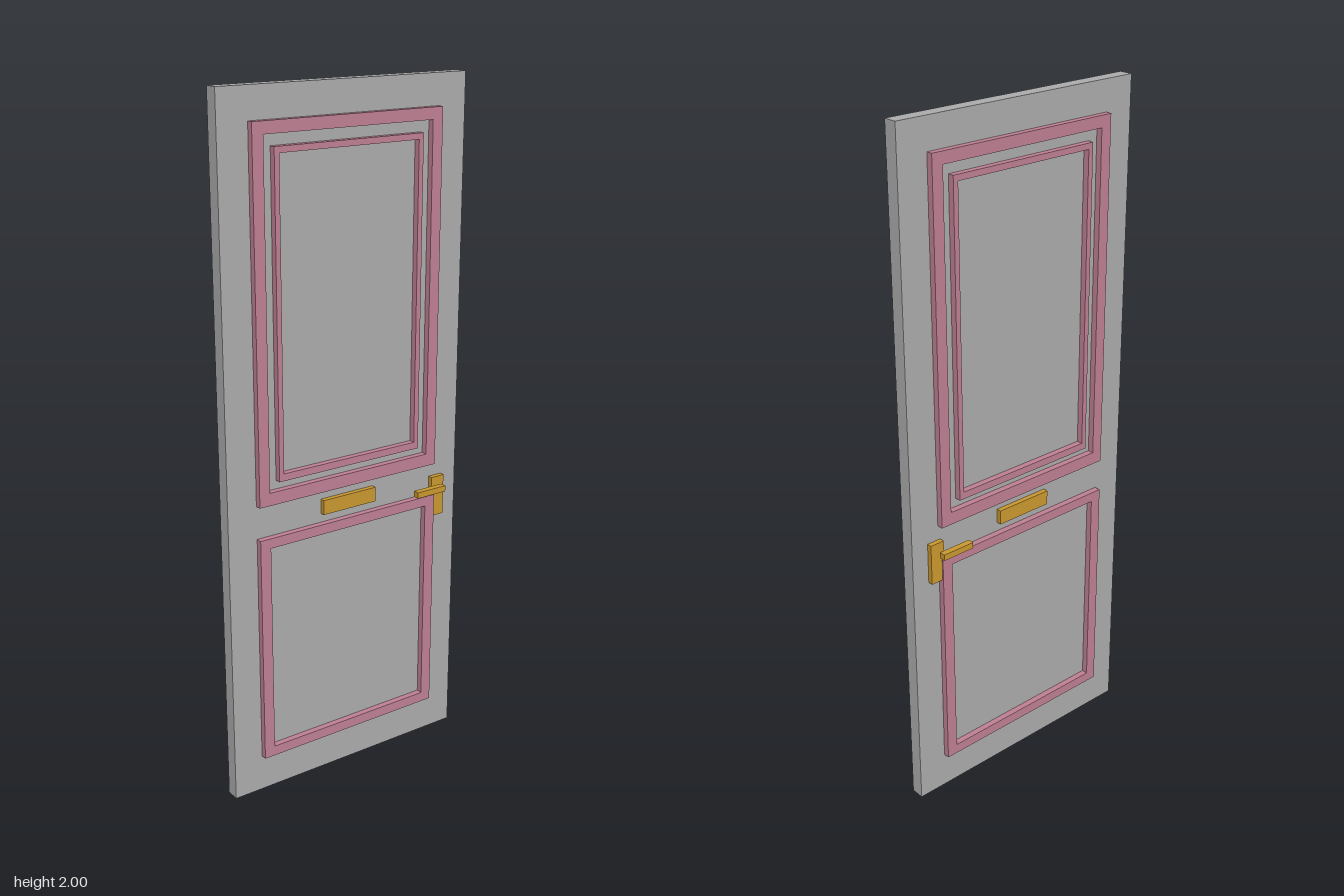
import * as THREE from 'three';

const doorGrey = new THREE.MeshStandardMaterial({ color: 0xaaaaaa });
doorGrey.name = 'door grey';
const trimPink = new THREE.MeshStandardMaterial({ color: 0xbd7f92 });
trimPink.name = 'trim pink';
const brass = new THREE.MeshStandardMaterial({ color: 0xc8962e });
brass.name = 'brass';

// Box given by its extents in x and y, its thickness and its centre in z
function slab(name, material, [x0, x1], [y0, y1], depth, z = 0) {
  const mesh = new THREE.Mesh(new THREE.BoxGeometry(x1 - x0, y1 - y0, depth), material);
  mesh.position.set((x0 + x1) / 2, (y0 + y1) / 2, z);
  mesh.name = name;
  return mesh;
}

// Rectangular moulding with an opening, standing proud of both faces of the door
function moulding(name, outerX, [oy0, oy1], innerX, [iy0, iy1], depth) {
  const shape = new THREE.Shape([
    new THREE.Vector2(-outerX, oy0), new THREE.Vector2(outerX, oy0),
    new THREE.Vector2(outerX, oy1), new THREE.Vector2(-outerX, oy1),
  ]);
  shape.holes.push(new THREE.Path([
    new THREE.Vector2(-innerX, iy0), new THREE.Vector2(-innerX, iy1),
    new THREE.Vector2(innerX, iy1), new THREE.Vector2(innerX, iy0),
  ]));
  const geometry = new THREE.ExtrudeGeometry(shape, { depth, bevelEnabled: false });
  geometry.translate(0, 0, -depth / 2);
  const mesh = new THREE.Mesh(geometry, trimPink);
  mesh.name = name;
  return mesh;
}

export function createModel() {
  const door = new THREE.Group();
  door.name = 'door';

  // Door leaf
  door.add(slab('doorLeaf', doorGrey, [-0.39, 0.39], [0, 2], 0.04));

  // Raised mouldings
  door.add(
    moulding('upperOuterMoulding', 0.3, [0.89, 1.913], 0.267, [0.927, 1.88], 0.077),
    moulding('upperInnerMoulding', 0.236, [0.952, 1.848], 0.221, [0.973, 1.831], 0.077),
    moulding('lowerMoulding', 0.3, [0.11, 0.793], 0.267, [0.14, 0.764], 0.077),
  );

  // Letter plate and lock plate pass through the leaf
  door.add(
    slab('letterPlate', brass, [-0.09, 0.088], [0.82, 0.863], 0.07),
    slab('lockPlate', brass, [0.293, 0.337], [0.725, 0.847], 0.07),
  );

  // Lever handle on each face
  for (const side of [1, -1]) {
    const name = side > 0 ? 'frontLever' : 'backLever';
    door.add(slab(name, brass, [0.217, 0.318], [0.809, 0.827], 0.019, side * 0.059));
  }
  return door;
}
